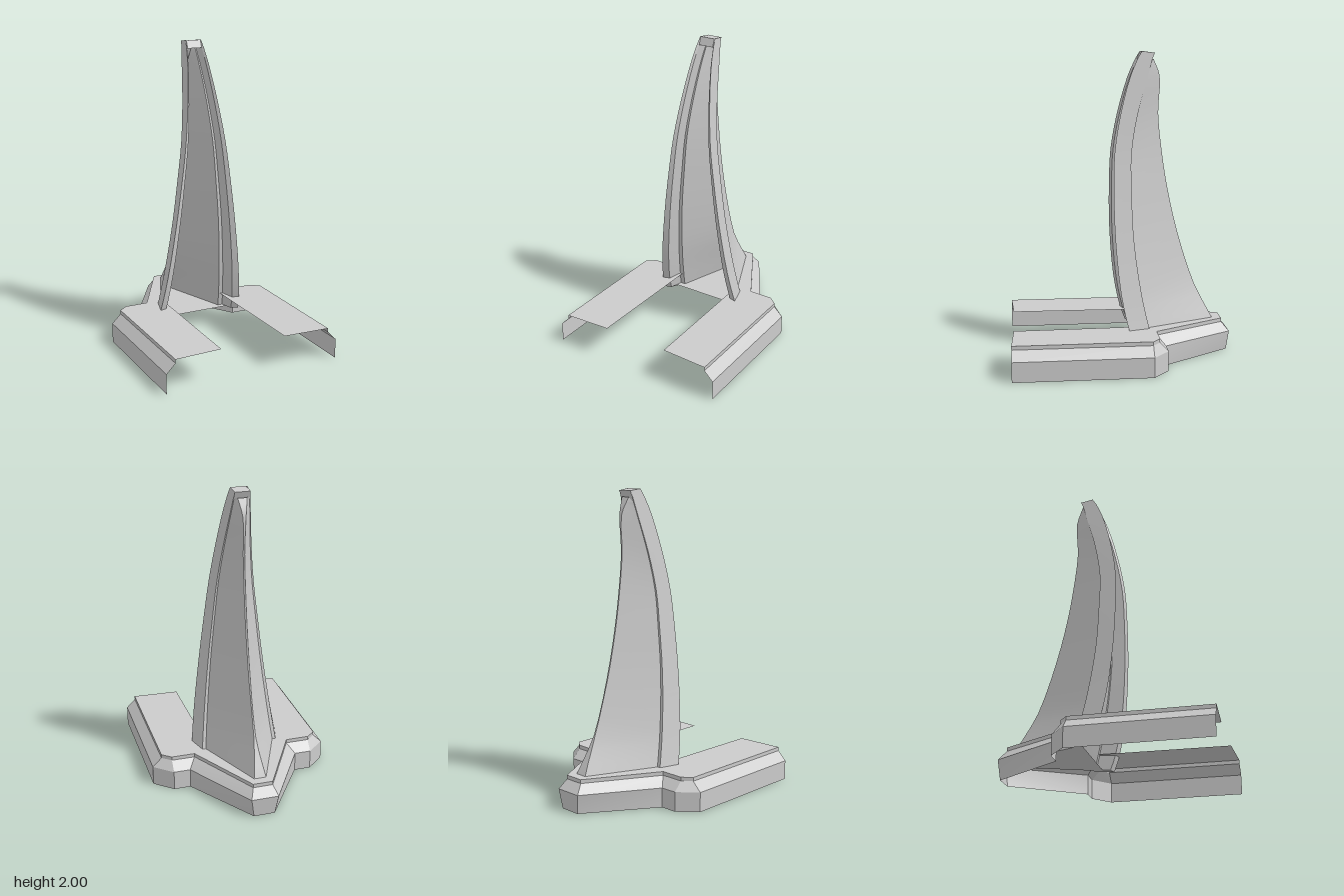
import * as THREE from 'three';
import { toCreasedNormals } from 'three/addons/utils/BufferGeometryUtils.js';

const material = new THREE.MeshStandardMaterial({ color: 0xcccccc, side: THREE.DoubleSide });

// Skin a list of equal-length cross-sections; optionally close each ring and cap the ends
function loft(name, rings, closed = true, capped = true) {
  const n = rings[0].length, pos = [], idx = [];
  rings.forEach(r => r.forEach(p => pos.push(...p)));
  for (let i = 0; i < rings.length - 1; i++) {
    for (let j = 0; j < (closed ? n : n - 1); j++) {
      const k = (j + 1) % n, a = i * n + j, b = i * n + k;
      idx.push(a, b, b + n, a, b + n, a + n);
    }
  }
  if (capped) {
    const last = (rings.length - 1) * n;
    for (let j = 1; j < n - 1; j++) idx.push(0, j + 1, j, last, last + j, last + j + 1);
  }
  const geo = new THREE.BufferGeometry();
  geo.setAttribute('position', new THREE.Float32BufferAttribute(pos, 3));
  geo.setIndex(idx);
  const mesh = new THREE.Mesh(toCreasedNormals(geo, 0.4), material);
  mesh.name = name;
  return mesh;
}

// Flat horizontal panel from [x, z] corners
function panel(name, corners, y) {
  const shape = new THREE.Shape(corners.map(([x, z]) => new THREE.Vector2(x, -z)));
  const mesh = new THREE.Mesh(new THREE.ShapeGeometry(shape).rotateX(-Math.PI / 2), material);
  mesh.position.y = y;
  mesh.name = name;
  return mesh;
}

// Height, rail front z, rail rear z, spine z, spine half width
const stations = [
  [0.12, -0.065, -0.19, -0.66, 0.06],
  [0.215, -0.03, -0.165, -0.62, 0.04],
  [0.45, 0.02, -0.115, -0.5, 0.006],
  [0.8, 0.052, -0.07, -0.385, 0.005],
  [1.1, 0.058, -0.06, -0.315, 0.005],
  [1.35, 0.05, -0.062, -0.275, 0.005],
  [1.6, 0.008, -0.105, -0.25, 0.005],
  [1.84, -0.058, -0.172, -0.258, 0.01],
  [1.95, -0.105, -0.203, -0.215, 0.03],
];

// Smooth the stations into finer rows
function fineRows() {
  const curve = (k) => new THREE.CatmullRomCurve3(stations.map(s => new THREE.Vector3(s[0], s[k], s[k + 1])));
  const a = curve(1), b = curve(3), rows = [], n = (stations.length - 1) * 3;
  for (let i = 0; i <= n; i++) {
    const p = a.getPoint(i / n), q = b.getPoint(i / n);
    rows.push([p.x, p.y, p.z, q.y, Math.max(q.z, 0.004)]);
  }
  return rows;
}

const railX = (y) => 0.3 - (y - 0.2) * 0.136;

export function createModel() {
  const group = new THREE.Group();
  const rows = fineRows();

  // Stepped base shell: skirt, chamfer and short riser around the rim
  const outer = [[0.6, 0.73], [0.6, -0.155], [0.48, -0.26], [0.37, -0.26], [0.09, -0.73]];
  const inner = [[0.54, 0.73], [0.54, -0.155], [0.48, -0.205], [0.325, -0.205], [0.065, -0.68]];
  const foot = outer.map(([x, z]) => [x, z]);
  foot[4] = [0.07, -0.715];
  const mirror = (half) => [...half, ...half.slice().reverse().map(([x, z]) => [-x, z])];
  const at = (half, y) => mirror(half).map(([x, z]) => [x, y, z]);
  const bands = [at(foot, 0), at(outer, 0.13), at(inner, 0.19), at(inner, 0.215)];
  ['skirt', 'chamfer', 'riser'].forEach((name, i) =>
    group.add(loft(name, [bands[i], bands[i + 1]], false, false)));

  // Deck: two forward arms joined behind the fin, open beneath it
  const opening = [[0.225, 0.715], [0.21, -0.15], [0.04, -0.62]];
  group.add(panel('deck', [...mirror(inner), ...mirror(opening).reverse()], 0.215));
  group.add(panel('finFloor', [[0.27, -0.13], [0.06, -0.66], [-0.06, -0.66], [-0.27, -0.13]], 0.12));

  for (const s of [1, -1]) {
    const side = s > 0 ? 'left' : 'right';

    // Curved front rail
    const section = (x, yf, zf, yr, zr) => [
      [s * x, yf, zf],
      [s * x * 0.87, yr, zr],
      [s * x * 0.75, yr, zr],
      [s * x * 0.84, yf, zf - 0.015],
    ];
    const rail = rows.map(([y, zf, zr]) => section(railX(y), y, zf, y, zr));
    rail.push(section(railX(2), 2, -0.135, 1.99, -0.22));
    group.add(loft(side + 'Rail', rail));

    // Fin wall sweeping back to the spine
    const wall = rows.map(([y, , zr, zb, w]) => {
      const x = railX(y), t = Math.min(0.02, (zr - zb) * 0.2);
      return [
        [s * x * 0.79, y, zr],
        [s * w, y, zb],
        [s * w * 0.8, y, zb + t],
        [s * x * 0.66, y, zr + t],
        [s * x * 0.77, y, zr + t],
      ];
    });
    group.add(loft(side + 'FinWall', wall));
  }

  // Narrow spine strip closing the back of the fin
  group.add(loft('spine', rows.map(([y, , , zb, w]) => [[w, y, zb], [-w, y, zb]]), false, false));

  // Tip block joining the rails
  const tip = (x) => [[x, 2, -0.135], [x, 1.99, -0.22], [x, 1.94, -0.2], [x, 1.95, -0.115]];
  group.add(loft('tipBlock', [tip(-0.05), tip(0.05)]));

  return group;
}
